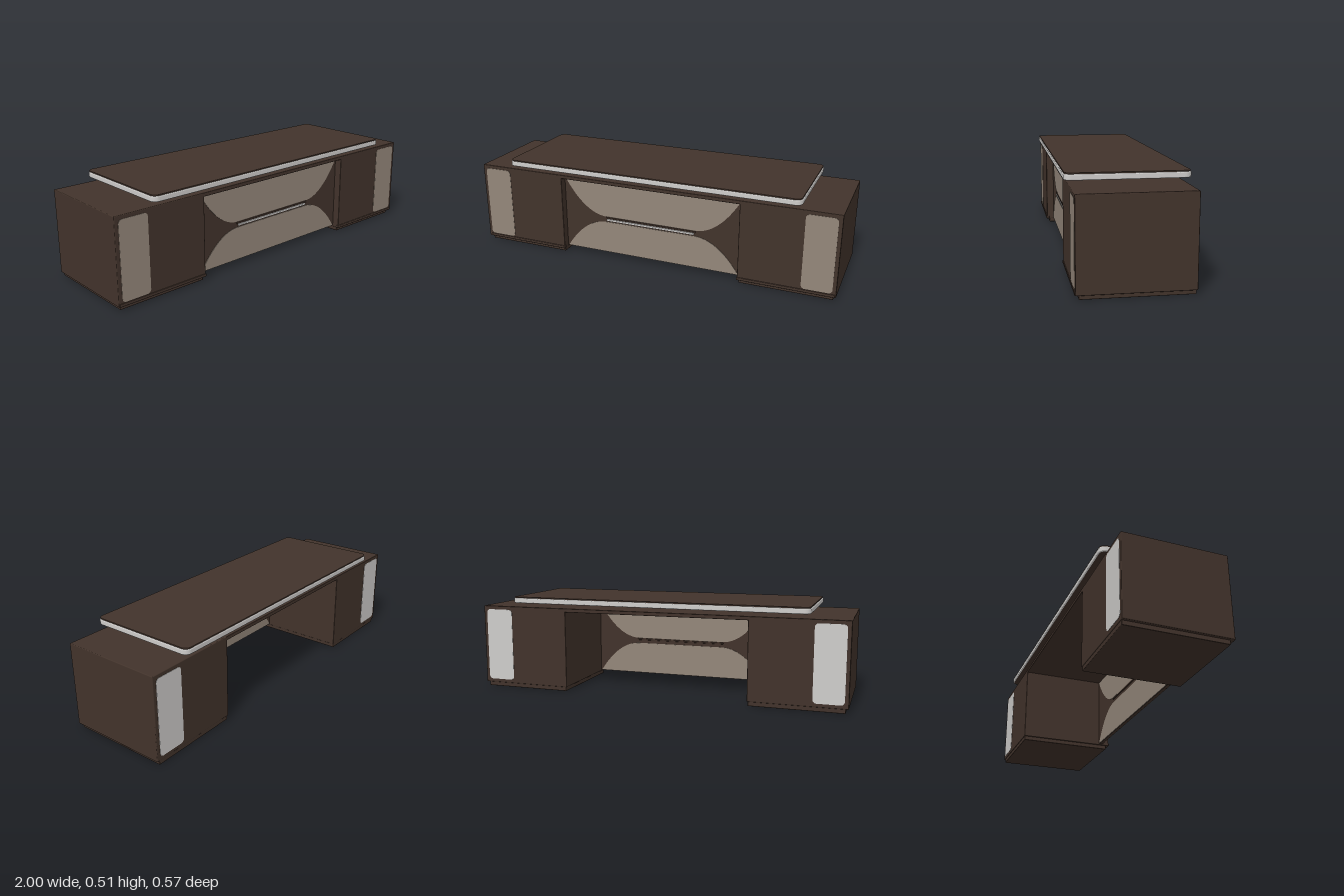
import * as THREE from 'three';
import { RoundedBoxGeometry } from 'three/addons/geometries/RoundedBoxGeometry.js';

export function createModel() {
  const group = new THREE.Group();
  group.name = 'desk';

  const mat = (name, color) => {
    const m = new THREE.MeshStandardMaterial({ color });
    m.name = name;
    return m;
  };
  const wood = mat('dark brown wood', 0x42332b);
  const beige = mat('beige panel', 0x94877a);
  const silver = mat('pale silver', 0xcfcdcb);

  const add = (name, geometry, material, x = 0, y = 0, z = 0) => {
    const mesh = new THREE.Mesh(geometry, material);
    mesh.name = name;
    mesh.position.set(x, y, z);
    group.add(mesh);
    return mesh;
  };

  // Box given by its extents along each axis
  const block = (name, [x0, x1], [y0, y1], [z0, z1], material, r = 0.003) =>
    add(name, new RoundedBoxGeometry(x1 - x0, y1 - y0, z1 - z0, 2, r), material,
      (x0 + x1) / 2, (y0 + y1) / 2, (z0 + z1) / 2);

  // Rounded rectangle centred on the origin
  const roundedRect = (w, h, r) => {
    const s = new THREE.Shape();
    const x = w / 2, y = h / 2;
    s.absarc(x - r, y - r, r, 0, Math.PI / 2);
    s.absarc(-x + r, y - r, r, Math.PI / 2, Math.PI);
    s.absarc(-x + r, -y + r, r, Math.PI, Math.PI * 1.5);
    s.absarc(x - r, -y + r, r, Math.PI * 1.5, Math.PI * 2);
    s.closePath();
    return s;
  };
  const plate = (shape, depth) =>
    new THREE.ExtrudeGeometry(shape, { depth, bevelEnabled: false, curveSegments: 16 });

  // Pedestals with plinths, skirting lips and inlaid strips
  const strip = plate(roundedRect(0.155, 0.395, 0.02), 0.003);
  for (const side of [-1, 1]) {
    const span = (a, b) => (side > 0 ? [a, b] : [-b, -a]);
    const label = side > 0 ? 'left' : 'right';
    block(label + 'Pedestal', span(0.5, 1), [0.022, 0.455], [-0.267, 0.263], wood, 0.004);
    block(label + 'Plinth', span(0.505, 0.985), [0, 0.03], [-0.264, 0.247], wood);
    block(label + 'SkirtingLip', span(0.497, 0.995), [0.022, 0.038], [0.25, 0.266], wood);
    add(label + 'FrontStrip', strip, beige, side * 0.903, 0.2385, 0.2615);
    add(label + 'BackStrip', strip, silver, side * 0.903, 0.2385, -0.2685);
  }

  // Deck bridging the pedestals, and the recessed modesty panel
  block('bridgeDeck', [-0.51, 0.51], [0.435, 0.455], [-0.267, 0.263], wood);
  block('modestyPanel', [-0.505, 0.505], [0.028, 0.44], [0.203, 0.222], wood);

  // Curved inlays on both faces of the modesty panel
  const inlay = (outerY, innerY) => {
    const s = new THREE.Shape();
    s.moveTo(-0.495, outerY);
    s.quadraticCurveTo(-0.38, innerY, -0.25, innerY);
    s.lineTo(0.25, innerY);
    s.quadraticCurveTo(0.38, innerY, 0.495, outerY);
    s.closePath();
    return plate(s, 0.004);
  };
  const upper = inlay(0.432, 0.238);
  const lower = inlay(0.03, 0.208);
  for (const [face, z] of [['Front', 0.2205], ['Back', 0.2005]]) {
    add('upperInlay' + face, upper, beige, 0, 0, z);
    add('lowerInlay' + face, lower, beige, 0, 0, z);
  }
  block('panelRail', [-0.26, 0.26], [0.226, 0.236], [0.198, 0.227], wood);
  block('panelTrim', [-0.25, 0.25], [0.214, 0.225], [0.218, 0.227], silver);

  // Floating top: silver rounded edge with brown faces
  const edge = new THREE.ExtrudeGeometry(roundedRect(1.602, 0.563, 0.028), {
    depth: 0.018, bevelThickness: 0.005, bevelSize: 0.006, bevelSegments: 3, curveSegments: 8,
  });
  edge.rotateX(-Math.PI / 2);
  add('topEdge', edge, [wood, silver], 0, 0.483, 0);
  const lid = plate(roundedRect(1.606, 0.568, 0.03), 0.006);
  lid.rotateX(-Math.PI / 2);
  add('topSurface', lid, wood, 0, 0.5055, 0);

  return group;
}
